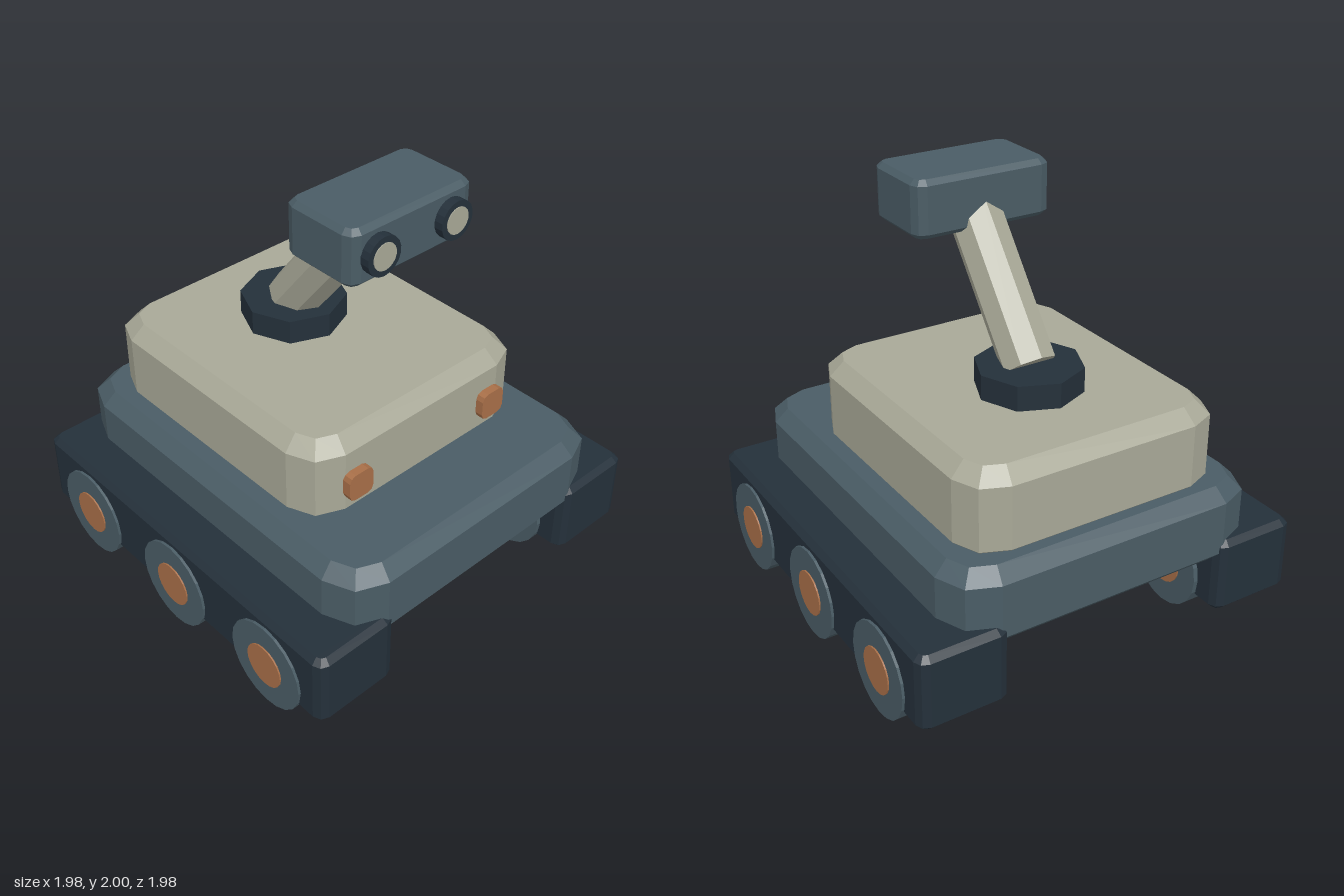
import * as THREE from 'three';

const paint = (name, color) => {
  const m = new THREE.MeshStandardMaterial({ color, flatShading: true });
  m.name = name;
  return m;
};

// Rectangle with two-facet rounded corners
function roundedRect(w, d, r) {
  const s = new THREE.Shape();
  const x = w / 2 - r, y = d / 2 - r;
  s.absarc(x, y, r, 0, Math.PI / 2);
  s.absarc(-x, y, r, Math.PI / 2, Math.PI);
  s.absarc(-x, -y, r, Math.PI, Math.PI * 1.5);
  s.absarc(x, -y, r, Math.PI * 1.5, Math.PI * 2);
  s.closePath();
  return s;
}

// Upright slab from y0 to y1 with chamfered top and bottom rims
function slab(w, d, y0, y1, r, bevel) {
  const g = new THREE.ExtrudeGeometry(roundedRect(w - 2 * bevel, d - 2 * bevel, r - bevel), {
    depth: y1 - y0 - 2 * bevel, curveSegments: 1,
    bevelEnabled: true, bevelSegments: 1, bevelSize: bevel, bevelThickness: bevel,
  });
  g.rotateX(-Math.PI / 2);
  g.translate(0, y0 + bevel, 0);
  return g;
}

export function createModel() {
  const slate = paint('slate', 0x4a5c65);
  const navy = paint('navy', 0x24303a);
  const cream = paint('cream', 0xa8a897);
  const copper = paint('copper', 0xa86f48);

  const model = new THREE.Group();
  model.name = 'rover';
  const add = (name, geometry, material, x = 0, y = 0, z = 0) => {
    const mesh = new THREE.Mesh(geometry, material);
    mesh.name = name;
    mesh.position.set(x, y, z);
    model.add(mesh);
    return mesh;
  };

  // Hull and upper body
  add('hull', slab(1.55, 1.94, 0.36, 0.74, 0.21, 0.063), slate);
  add('upperBody', slab(1.28, 1.44, 0.68, 1.11, 0.19, 0.067), cream, 0, 0, -0.14);

  // Shared geometry for the running gear, lamps and eyes
  const pod = slab(0.425, 1.975, 0.112, 0.48, 0.055, 0.027);
  const wheel = new THREE.CylinderGeometry(0.218, 0.218, 0.46, 20).rotateZ(Math.PI / 2);
  const hub = new THREE.CylinderGeometry(0.107, 0.107, 0.474, 20).rotateZ(Math.PI / 2);
  const lamp = new THREE.ExtrudeGeometry(roundedRect(0.135, 0.135, 0.032), {
    depth: 0.06, curveSegments: 1, bevelEnabled: false,
  });
  const rim = new THREE.CylinderGeometry(0.09, 0.09, 0.07, 18).rotateX(Math.PI / 2);
  const lens = new THREE.CylinderGeometry(0.062, 0.062, 0.008, 18).rotateX(Math.PI / 2);

  for (const side of [1, -1]) {
    const label = side > 0 ? 'left' : 'right';
    add(label + 'WheelPod', pod, navy, side * 0.76, 0, -0.003);
    for (const z of [0.643, 0, -0.643]) {
      add(label + 'Wheel', wheel, slate, side * 0.755, 0.218, z);
      add(label + 'Hub', hub, copper, side * 0.755, 0.218, z);
    }
    add(label + 'Lamp', lamp, copper, side * 0.407, 0.877, 0.56);
    add(label + 'EyeRim', rim, navy, side * 0.205, 1.867, 0.483);
    add(label + 'EyeLens', lens, cream, side * 0.205, 1.867, 0.518);
  }

  // Turret ring and the leaning neck
  add('turretRing', new THREE.CylinderGeometry(0.247, 0.247, 0.14, 8), navy, 0, 1.157, -0.275);
  const base = new THREE.Vector3(0, 1.21, -0.275);
  const top = new THREE.Vector3(0, 1.86, 0.235);
  const lean = top.clone().sub(base);
  const neck = add('neck', new THREE.CylinderGeometry(0.125, 0.125, lean.length(), 8), cream);
  neck.position.copy(base).add(top).multiplyScalar(0.5);
  neck.rotation.x = Math.atan2(lean.z, lean.y);

  // Camera head
  add('head', slab(0.69, 0.4, 1.735, 2.0, 0.06, 0.024), slate, 0, 0, 0.275);

  return model;
}
